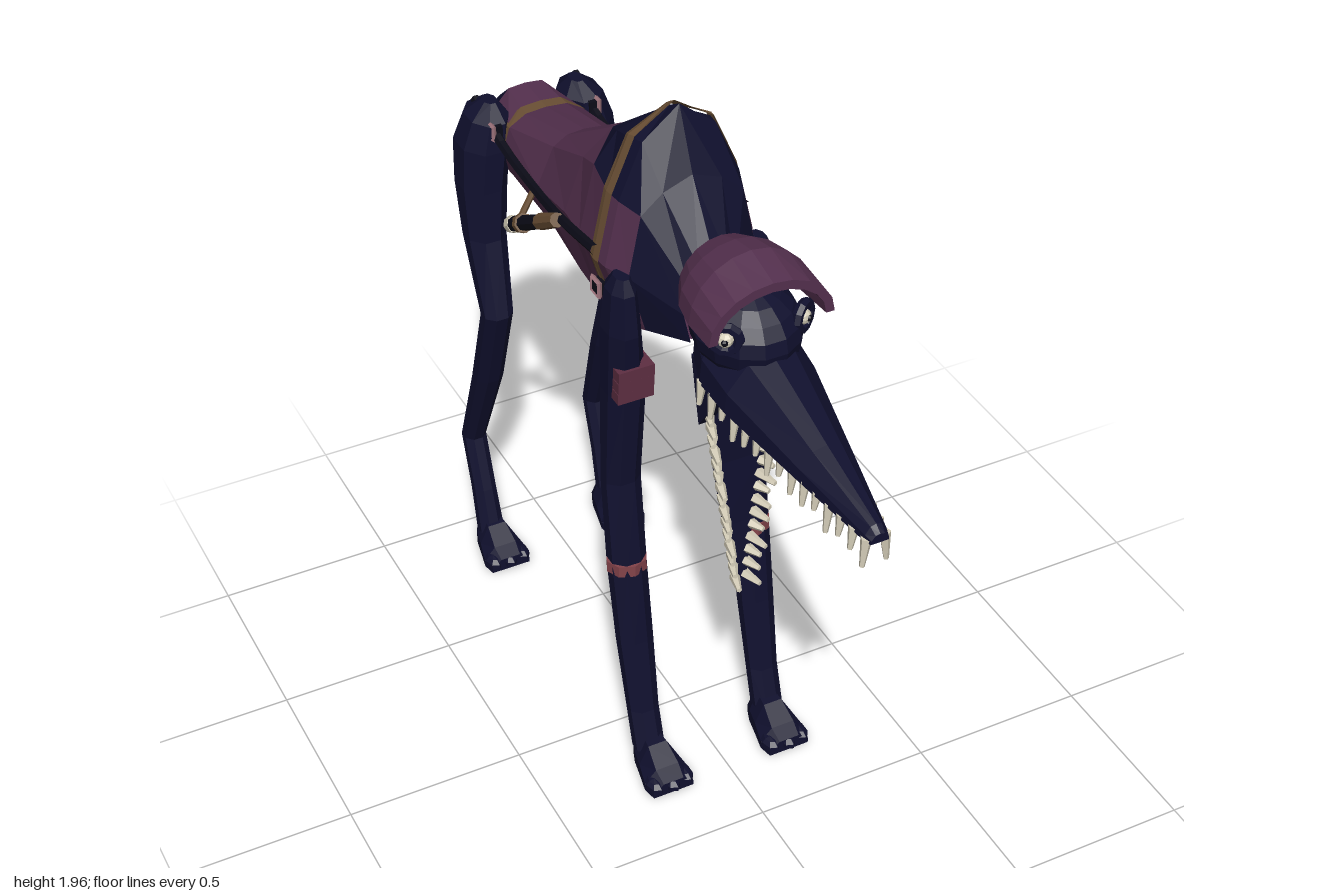
import * as THREE from 'three';

const mat = (name, color, double) => {
  const m = new THREE.MeshStandardMaterial({ color });
  m.name = name;
  if (double) m.side = THREE.DoubleSide;
  return m;
};
const V = (x, y, z) => new THREE.Vector3(x, y, z);
const lerp = THREE.MathUtils.lerp;

export function createModel() {
  const skin = mat('midnight skin', 0x10102e);
  const vest = mat('plum cloth', 0x54304e, true);
  const leather = mat('brown leather', 0x6b5035, true);
  const ivory = mat('ivory', 0xd6cfba);
  const red = mat('dusty red', 0x83434a);
  const garnet = mat('garnet cloth', 0x5e2e42);
  const black = mat('black strap', 0x0c0c18);
  const buckleTone = mat('buckle pink', 0x9a7078);
  const root = new THREE.Group();

  const add = (name, geo, material, parent = root) => {
    let g = geo;
    if (g.index) { g = g.toNonIndexed(); g.computeVertexNormals(); }
    const m = new THREE.Mesh(g, material);
    m.name = name;
    parent.add(m);
    return m;
  };

  // Skin a row of cross-sections; pick() chooses a material index per triangle
  const loft = (name, rings, material, { open = false, caps = !open, pick = () => 0 } = {}) => {
    const tris = [[], []], n = rings[0].length, mid = V(0, 0, 0);
    for (let i = 0; i < rings.length - 1; i++) {
      for (let k = 0; k < (open ? n - 1 : n); k++) {
        const a = rings[i], b = rings[i + 1], l = (k + 1) % n;
        tris[pick(i, k, 0)].push([a[k], a[l], b[k]]);
        tris[pick(i, k, 1)].push([a[l], b[l], b[k]]);
      }
    }
    if (caps) [rings[0], rings[rings.length - 1]].forEach((r, e) => {
      const c = r.reduce((s, p) => s.add(p), V(0, 0, 0)).divideScalar(n);
      r.forEach((p, k) => {
        const q = r[(k + 1) % n];
        tris[0].push(e ? [p, q, c] : [q, p, c]);
      });
    });
    // Turn every face outward
    const all = tris.flat();
    all.forEach(t => t.forEach(p => mid.addScaledVector(p, 1 / (all.length * 3))));
    const volume = all.reduce((s, [a, b, c]) => s + a.clone().sub(mid)
      .dot(b.clone().sub(mid).cross(c.clone().sub(mid))), 0);
    const g = new THREE.BufferGeometry();
    g.setFromPoints(all.flatMap(([a, b, c]) => volume < 0 ? [a, c, b] : [a, b, c]));
    g.computeVertexNormals();
    if (Array.isArray(material)) {
      g.addGroup(0, tris[0].length * 3, 0);
      g.addGroup(tris[0].length * 3, tris[1].length * 3, 1);
    }
    return add(name, g, material);
  };

  // Rod between two points
  const rod = (name, a, b, r0, r1, material, sides = 8) => {
    const m = add(name, new THREE.CylinderGeometry(r1, r0, a.distanceTo(b), sides), material);
    m.position.copy(a).lerp(b, 0.5);
    m.quaternion.setFromUnitVectors(V(0, 1, 0), b.clone().sub(a).normalize());
    return m;
  };

  // Torso: z, then x,y pairs from spine to belly on one side
  const torso = [
    [0.18, 0, 1.63, 0.04, 1.61, 0.065, 1.55, 0.08, 1.48, 0.06, 1.39, 0, 1.36],
    [0.07, 0, 1.80, 0.08, 1.77, 0.14, 1.72, 0.175, 1.55, 0.13, 1.38, 0, 1.31],
    [0, 0, 1.96, 0.10, 1.88, 0.165, 1.73, 0.205, 1.55, 0.14, 1.35, 0, 1.295],
    [-0.05, 0, 1.93, 0.11, 1.87, 0.17, 1.73, 0.21, 1.55, 0.15, 1.34, 0, 1.285],
    [-0.18, 0, 1.835, 0.08, 1.81, 0.145, 1.73, 0.19, 1.54, 0.14, 1.335, 0, 1.28],
    [-0.31, 0, 1.74, 0.03, 1.735, 0.115, 1.67, 0.17, 1.52, 0.13, 1.33, 0, 1.28],
    [-0.55, 0, 1.59, 0.05, 1.585, 0.09, 1.56, 0.14, 1.45, 0.10, 1.32, 0, 1.285],
    [-0.8, 0, 1.525, 0.06, 1.52, 0.11, 1.49, 0.13, 1.42, 0.10, 1.33, 0, 1.29],
    [-0.93, 0, 1.53, 0.05, 1.525, 0.10, 1.47, 0.12, 1.40, 0.09, 1.31, 0, 1.28],
    [-1, 0, 1.475, 0.05, 1.465, 0.08, 1.44, 0.09, 1.38, 0.07, 1.29, 0, 1.27]];
  const half = (r, s, k = 1) => [1, 3, 5, 7, 9, 11].map(i =>
    V(s * r[i] * k, 1.5 + (r[i + 1] - 1.5) * k, r[0]));
  const sectionAt = z => {
    let i = 0;
    while (i < torso.length - 2 && torso[i + 1][0] > z) i++;
    const t = (torso[i][0] - z) / (torso[i][0] - torso[i + 1][0]);
    return torso[i].map((v, j) => lerp(v, torso[i + 1][j], t));
  };
  const clothed = (i, k, t) => {
    if (i < 1 || i > 8) return 0;
    if (i === 8) return k === 0 ? 1 : 0;
    return i < 4 && k < 2 || i === 4 && (k === 0 || k === 1 && t === 0) ? 0 : 1;
  };
  for (const s of [1, -1]) {
    const rings = torso.map(r => half(r, s));
    rings.push(rings[0].map(() => V(0, 1.38, -1)));
    loft('torso', rings, [skin, vest], { open: true, pick: (i, k, t) => i === 9 ? 0 : clothed(i, k, t) });
    // Girth strap and rump strap
    const band = (zs, count) => zs.map(z => half(sectionAt(z), s, 1.025).slice(0, count));
    loft('girthStrap', band([-0.025, -0.05, -0.07], 6), leather, { open: true });
    loft('rumpStrap', band([-0.79, -0.83], 4), leather, { open: true });
  }

  // Oval section across z, used for neck, snout and feet
  const oval = (x, z, rx, y0, y1, n = 10) => Array.from({ length: n }, (_, k) => {
    const a = (k + 0.5) / n * Math.PI * 2;
    return V(x + Math.cos(a) * rx, (y0 + y1) / 2 + Math.sin(a) * (y1 - y0) / 2, z);
  });
  loft('neck', [oval(0, 0.12, 0.08, 1.42, 1.66), oval(0, 0.3, 0.1, 1.44, 1.64)], skin);
  const skull = add('skull', new THREE.SphereGeometry(1, 14, 10), skin);
  skull.scale.set(0.135, 0.12, 0.16);
  skull.position.set(0, 1.54, 0.35);

  // Upper jaw: domed above, flat below
  const jawRing = (z, w, y0, y1) => [[-1, 0], [1, 0], [0.95, 0.4], [0.5, 0.9], [0, 1], [-0.5, 0.9], [-0.95, 0.4]]
    .map(([x, y]) => V(x * w, lerp(y0, y1, y), z));
  loft('upperJaw', [jawRing(0.27, 0.1, 1.43, 1.58), jawRing(0.36, 0.13, 1.41, 1.58), jawRing(0.48, 0.125, 1.40, 1.535),
    jawRing(0.75, 0.075, 1.37, 1.45), jawRing(0.98, 0.03, 1.345, 1.385), jawRing(1, 0.024, 1.345, 1.37)], skin);
  // Lower jaw hanging open
  const dropRing = (y, w, z0, z1) => [V(-w, y, z1), V(w, y, z1), V(w * 0.8, y, (z0 + z1) / 2),
    V(w * 0.3, y, z0), V(-w * 0.3, y, z0), V(-w * 0.8, y, (z0 + z1) / 2)];
  loft('lowerJaw', [dropRing(1.43, 0.1, 0.27, 0.34), dropRing(1.25, 0.09, 0.27, 0.33), dropRing(1.1, 0.07, 0.27, 0.32),
    dropRing(0.9, 0.042, 0.28, 0.33), dropRing(0.75, 0.02, 0.305, 0.345), dropRing(0.72, 0.014, 0.315, 0.35)], skin);

  // Cap: hollow dome open at the front, folded inward at the rim
  const arc = (z, w, y0, y1) => Array.from({ length: 11 }, (_, k) => {
    const a = k / 10 * Math.PI;
    return V(Math.cos(a) * w, y0 + Math.sin(a) * (y1 - y0), z);
  });
  loft('cap', [arc(0.17, 0.02, 1.6, 1.62), arc(0.185, 0.07, 1.6, 1.66), arc(0.22, 0.115, 1.6, 1.715), arc(0.29, 0.15, 1.6, 1.745),
    arc(0.37, 0.165, 1.6, 1.762), arc(0.48, 0.168, 1.605, 1.735), arc(0.48, 0.145, 1.605, 1.71),
    arc(0.36, 0.14, 1.6, 1.72)], vest, { open: true });

  // Limb from rows of y, x, z, half width, half depth
  const limb = (name, rows, s) => loft(name, rows.map(([y, x, z, rx, rz]) =>
    Array.from({ length: 8 }, (_, k) => {
      const a = (k + 0.5) / 8 * Math.PI * 2;
      return V(s * (x + Math.cos(a) * rx), y, z + Math.sin(a) * rz);
    })), skin);
  const foot = (x, z, s) => {
    loft('foot', [[-0.06, 0.03, 0.05], [-0.02, 0.045, 0.1], [0.03, 0.055, 0.095], [0.09, 0.068, 0.06], [0.13, 0.06, 0.04]]
      .map(([dz, w, h]) => [V(-w, 0, 0), V(w, 0, 0), V(w, h * 0.4, 0), V(w * 0.5, h, 0), V(-w * 0.5, h, 0), V(-w, h * 0.4, 0)]
        .map(p => p.add(V(s * x, 0, z + dz)))), skin);
    for (const t of [-1, 0, 1]) {
      const toe = add('toe', new THREE.SphereGeometry(1, 7, 5), skin);
      toe.scale.set(0.025, 0.022, 0.04);
      toe.position.set(s * x + t * 0.045, 0.022, z + 0.11 - Math.abs(t) * 0.01);
    }
  };

  for (const s of [1, -1]) {
    limb('frontLeg', [[1.56, 0.19, 0.06, 0.02, 0.03], [1.52, 0.19, 0.055, 0.038, 0.055], [1.4, 0.19, 0.05, 0.048, 0.07],
      [1.2, 0.178, 0.035, 0.058, 0.06], [0.9, 0.182, 0.02, 0.054, 0.046], [0.63, 0.185, 0.055, 0.054, 0.05],
      [0.4, 0.185, 0.095, 0.052, 0.044], [0.18, 0.185, 0.14, 0.045, 0.038], [0.06, 0.185, 0.175, 0.045, 0.04]], s);
    foot(0.18, 0.19, s);
    limb('hindLeg', [[1.54, 0.13, -0.88, 0.02, 0.03], [1.5, 0.14, -0.88, 0.06, 0.085], [1.42, 0.155, -0.885, 0.075, 0.1],
      [1.3, 0.17, -0.87, 0.07, 0.088], [1.15, 0.18, -0.84, 0.06, 0.067], [0.93, 0.19, -0.755, 0.046, 0.043],
      [0.65, 0.19, -0.85, 0.045, 0.045], [0.36, 0.2, -0.963, 0.036, 0.037], [0.2, 0.2, -0.91, 0.036, 0.037],
      [0.06, 0.2, -0.87, 0.04, 0.04]], s);
    foot(0.195, -0.865, s);

    // Leg wraps and bands
    for (const y of [1.215, 1.25, 1.285]) {
      const wrap = add('legWrap', new THREE.BoxGeometry(0.1, 0.032, 0.075), garnet);
      wrap.position.set(s * 0.175, y, 0.07 + (y - 1.25) * 0.1);
    }
    const anklet = add('legBand', new THREE.CylinderGeometry(0.058, 0.058, 0.035, 8), red);
    anklet.position.set(s * 0.185, 0.635, 0.054);
    anklet.scale.z = 0.93;

    // Eye and socket
    const eye = new THREE.Group();
    eye.name = 'eye';
    eye.position.set(s * 0.104, 1.585, 0.442);
    eye.rotation.y = s * 0.6;
    add('socket', new THREE.TorusGeometry(0.034, 0.014, 6, 10), skin, eye);
    add('eyeball', new THREE.SphereGeometry(0.021, 8, 6), ivory, eye);
    add('pupil', new THREE.SphereGeometry(0.01, 6, 5), black, eye).position.z = 0.015;
    root.add(eye);

    // Cheek joining the jaws
    loft('cheek', [0.07, 0.105].map(x => [V(s * x, 1.42, 0.44), V(s * x, 1.24, 0.31), V(s * x, 1.43, 0.27)]), skin);

    // Teeth
    for (let i = 0; i < 15; i++) {
      const t = i / 14, size = 1 + 0.25 * Math.sin(i * 2.4);
      const u = V(s * lerp(0.122, 0.024, t), lerp(1.415, 1.352, t), lerp(0.36, 0.98, t));
      rod('upperTooth', u, u.clone().add(V(s * 0.008, -0.068 * size, 0)), 0.015, 0.007, ivory, 5);
      const l = V(s * lerp(0.086, 0.014, t), lerp(1.28, 0.735, t), lerp(0.325, 0.34, t));
      rod('lowerTooth', l, l.clone().add(V(s * 0.016, 0, 0.048 * size)), 0.015, 0.007, ivory, 5);
    }

    // Side strap with buckles
    const path = new THREE.CatmullRomCurve3([V(s * 0.212, 1.58, -0.04), V(s * 0.198, 1.53, -0.27),
      V(s * 0.155, 1.46, -0.55), V(s * 0.145, 1.46, -0.75), V(s * 0.15, 1.52, -0.93)]);
    add('sideStrap', new THREE.TubeGeometry(path, 16, 0.014, 6), black);
    for (const [x, y, z] of [[0.2, 1.47, -0.04], [0.145, 1.485, -0.81]]) {
      const frame = add('buckle', new THREE.TorusGeometry(0.028, 0.007, 4, 4), buckleTone);
      frame.position.set(s * (x + 0.012), y, z);
      frame.rotation.set(0, Math.PI / 2, 0);
      frame.geometry.rotateZ(Math.PI / 4);
      add('bucklePlate', new THREE.BoxGeometry(0.03, 0.036, 0.036), black).position.set(s * x, y, z);
    }

    // Slung canister: leather grip, dark barrel, pale end
    const a = V(s * 0.212, 1.535, -0.265), b = V(s * 0.212, 1.345, -0.565);
    const at = t => a.clone().lerp(b, t);
    rod('canisterBarrel', at(0.04), at(0.93), 0.018, 0.022, black);
    rod('canisterGrip', at(0), at(0.35), 0.02, 0.023, leather);
    rod('canisterRing', at(0.72), at(0.78), 0.027, 0.027, leather);
    rod('canisterEnd', at(0.92), at(1), 0.024, 0.024, ivory);
    rod('canisterHanger', V(s * 0.16, 1.47, -0.52), V(s * 0.21, 1.38, -0.52), 0.009, 0.009, leather, 6);
  }
  return root;
}
